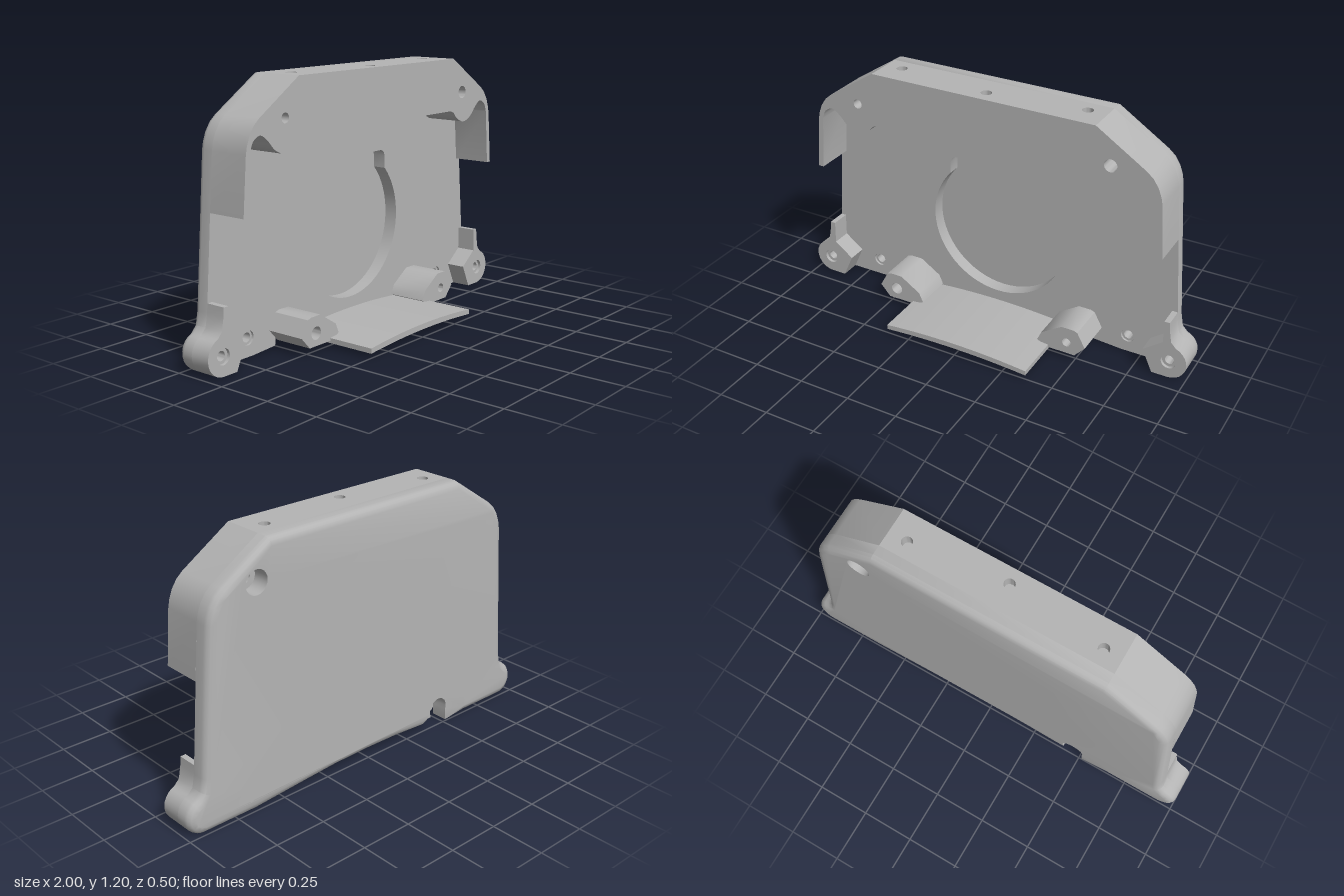
import * as THREE from 'three';
import { toCreasedNormals } from 'three/addons/utils/BufferGeometryUtils.js';

const BACK = -0.25, FACE = -0.17, FRONT = 0.02;
const V = (x, y) => new THREE.Vector2(x, y);
const pts = (list) => list.map(([x, y]) => V(x, y));
const mirror = (list) => list.map((p) => V(-p.x, p.y)).reverse();

function arc(cx, cy, r, a0, a1, n) {
  return Array.from({ length: n + 1 }, (_, i) => {
    const a = THREE.MathUtils.degToRad(a0 + (a1 - a0) * i / n);
    return V(cx + r * Math.cos(a), cy + r * Math.sin(a));
  });
}
const circle = (x, y, r) => arc(x, y, r, 0, 345, 23);

function shapeOf(points, holes = []) {
  const s = new THREE.Shape(points);
  s.holes = holes.map((h) => new THREE.Path(h));
  return s;
}

function extrude(points, z0, z1, holes = [], steps = 1) {
  const g = new THREE.ExtrudeGeometry(shapeOf(points, holes), { depth: z1 - z0, steps, bevelEnabled: false });
  return g.translate(0, 0, z0);
}

export function createModel() {
  const group = new THREE.Group();
  const grey = new THREE.MeshStandardMaterial({ color: 0xb4b4b4 });
  grey.name = 'plain grey';
  const add = (name, geo) => {
    const m = new THREE.Mesh(toCreasedNormals(geo, 0.6), grey);
    m.name = name;
    group.add(m);
  };

  // Right-hand contour, from the top corner down to the foot
  const shoulder = pts([[0.545, 1.2], [0.78, 1.048], [0.81, 1.022], [0.835, 0.985], [0.85, 0.945], [0.857, 0.91]]);
  const foot = [...pts([[0.909, 0.25], [0.92, 0.19]]), ...arc(0.915, 0.085, 0.085, 70, -90, 12)];
  const half = [...shoulder, ...foot, ...pts([[0.65, 0], [0.37, 0.02]])];
  // Bay cut into the lower edge behind the through hole
  const bay = [...arc(-0.46, 0.085, 0.055, -30, 200, 12), V(-0.515, 0.008)];
  const left = mirror(half);
  const outline = [
    ...half, ...pts([[0.2, 0.031], [0, 0.035], [-0.2, 0.031]]),
    left[0], ...bay, ...left.slice(1),
  ].reverse();

  // Keyhole-shaped pocket
  const pocket = [
    ...arc(0, 0.46, 0.345, 138, 402, 48),
    ...pts([[0.255, 0.75], [0.248, 0.77], [0.23, 0.78], [-0.23, 0.78], [-0.248, 0.77], [-0.255, 0.75]]),
  ];

  // Back plate, with the outer rim rounded towards the back
  const sockets = [-0.68, 0.68].map((x) => circle(x, 0.085, 0.033));
  const plate = extrude(outline, 0, 1, [pocket, circle(0.62, 1.035, 0.055), ...sockets], 4);
  const layerZ = [BACK, -0.243, -0.23, -0.215, FACE];
  const layerInset = [0.035, 0.015, 0.004, 0, 0];
  const pos = plate.attributes.position;
  for (let i = 0; i < pos.count; i++) {
    const x = pos.getX(i), y = pos.getY(i), k = Math.round(pos.getZ(i) * 4);
    pos.setZ(i, layerZ[k]);
    const j = outline.findIndex((p) => Math.abs(p.x - x) + Math.abs(p.y - y) < 1e-4);
    const inBay = x > -0.52 && x < -0.4 && y < 0.16;
    if (j < 0 || inBay) continue;
    const n = outline.length;
    const t = outline[(j + 1) % n].clone().sub(outline[(j + n - 1) % n]).normalize();
    pos.setXY(i, x - t.y * layerInset[k], y + t.x * layerInset[k]);
  }
  add('back plate', plate);
  add('pocket floor', extrude(pocket, BACK, -0.235));
  sockets.forEach((s) => add('socket floor', extrude(s, BACK, -0.235)));

  // Upper hood with wavy lower edge and side tabs
  const wave = new THREE.SplineCurve(pts([
    [0.832, 0.92], [0.815, 0.96], [0.775, 0.98], [0.735, 0.955], [0.69, 0.91],
    [0.635, 0.89], [0.58, 0.91], [0.55, 0.94], [0.52, 0.95],
  ])).getPoints(32);
  const hoodHalf = [V(0.545, 1.14), ...shoulder, V(0.877, 0.66), V(0.851, 0.66), ...wave];
  add('upper hood', extrude([...hoodHalf, ...mirror(hoodHalf)], FACE, FRONT,
    [circle(0.62, 1.035, 0.03), circle(-0.63, 1.035, 0.022)]));

  // Top slab with three screw holes drilled downwards
  const slab = extrude(pts([[-0.545, -FRONT], [0.545, -FRONT], [0.545, -FACE], [-0.545, -FACE]]), 1.14, 1.2,
    [circle(-0.46, 0.1, 0.025), circle(0, 0.05, 0.025), circle(0.455, 0.1, 0.025)]);
  add('top slab', slab.rotateX(-Math.PI / 2));

  // Corner feet and ring inserts on both sides
  const corner = [V(0.88, 0.29), V(0.906, 0.29), ...foot, ...pts([[0.84, 0], [0.79, 0.11], [0.882, 0.18]])];
  const lug = pts([[0.55, 0.085], [0.51, 0.158], [0.49, 0.165], [0.43, 0.165], [0.33, 0.1],
    [0.31, 0.055], [0.36, 0.03], [0.5, 0.03]]);
  for (const s of [1, -1]) {
    const side = (list) => (s > 0 ? list : mirror(list));
    add('corner foot', extrude(side(corner), FACE, -0.075, [circle(s * 0.915, 0.085, 0.036)]));
    add('foot ring', extrude(circle(s * 0.915, 0.085, 0.036), FACE, -0.09, [circle(s * 0.915, 0.085, 0.022)]));
    add('socket ring', extrude(circle(s * 0.68, 0.085, 0.033), -0.236, -0.18, [circle(s * 0.68, 0.085, 0.022)]));
    add('lower lug', extrude(side(lug), FACE, FRONT, [circle(s * 0.458, 0.088, s > 0 ? 0.022 : 0.03)]));
  }

  // Curved tongue reaching forward
  const bow = (y0, y1) => Array.from({ length: 17 }, (_, i) => {
    const u = i / 8 - 1;
    return V(u * 0.367, y0 + (y1 - y0) * (1 - u * u));
  });
  add('front tongue', extrude([...bow(0.02, 0.036), ...bow(0.043, 0.062).reverse()], FACE - 0.005, 0.25));

  return group;
}
